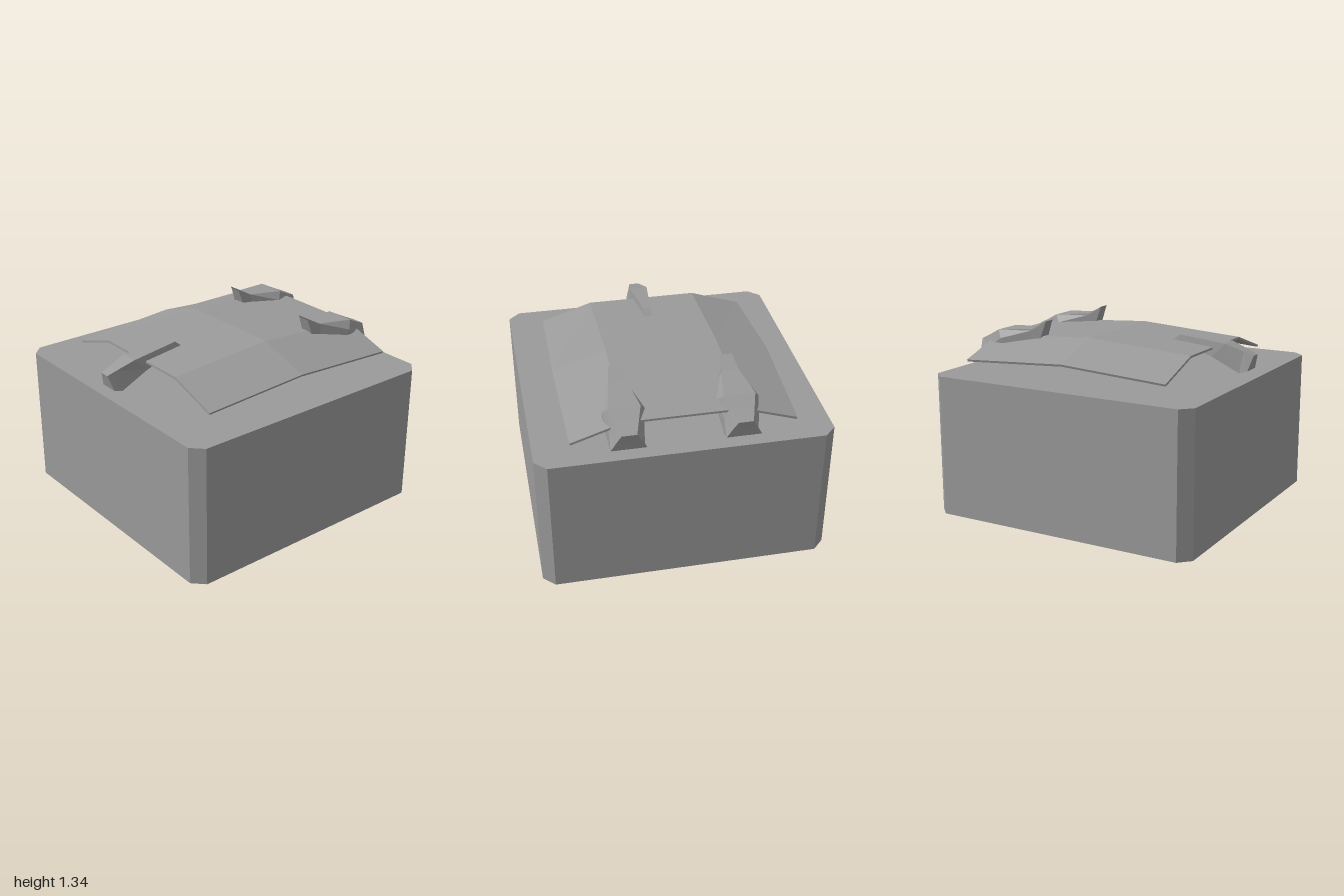
import * as THREE from 'three';

const material = new THREE.MeshStandardMaterial({ color: 0x9a9a9a, flatShading: true });

// Skin a row of matching rings, ordered from front (+z) to back, and cap both ends
function loft(name, rings) {
  const pos = [];
  const n = rings[0].length;
  const quad = (a, b, c, d) => pos.push(...a, ...b, ...c, ...a, ...c, ...d);
  for (let j = 0; j + 1 < rings.length; j++) {
    for (let i = 0; i < n; i++) {
      const k = (i + 1) % n;
      quad(rings[j][i], rings[j][k], rings[j + 1][k], rings[j + 1][i]);
    }
  }
  const first = rings[0], last = rings[rings.length - 1];
  for (let i = 0; i < n / 2 - 1; i++) {
    quad(first[i], first[n - 1 - i], first[n - 2 - i], first[i + 1]);
    quad(last[i], last[i + 1], last[n - 2 - i], last[n - 1 - i]);
  }
  const geo = new THREE.BufferGeometry();
  geo.setAttribute('position', new THREE.Float32BufferAttribute(pos, 3));
  geo.computeVertexNormals();
  const mesh = new THREE.Mesh(geo, material);
  mesh.name = name;
  return mesh;
}

// Mirrored claw: each section lists [z, y, halfWidth] from top to bottom
function claw(name, x, sections) {
  const mesh = loft(name, sections.map((s) => [
    ...s.map(([z, y, w]) => [w, y, z]),
    ...[...s].reverse().map(([z, y, w]) => [-w, y, z]),
  ]));
  mesh.position.x = x;
  return mesh;
}

function createBase() {
  const c = 0.92;
  const outline = new THREE.Shape([
    [-c, -1], [c, -1], [1, -c], [1, c], [c, 1], [-c, 1], [-1, c], [-1, -c],
  ].map(([x, y]) => new THREE.Vector2(x, y)));
  const geo = new THREE.ExtrudeGeometry(outline, { depth: 1, bevelEnabled: false });
  geo.rotateX(-Math.PI / 2);
  const mesh = new THREE.Mesh(geo, material);
  mesh.name = 'base';
  return mesh;
}

// Thin bent plate: crest across the middle, sides folded down
function createPlate() {
  const t = 0.015;
  const rows = [[0.705, 1.2, 0.757], [-0.07, 1.25, 0.772], [-0.87, 1.2, 0.757]];
  const mesh = loft('plate', rows.map(([z, y, w]) => {
    const top = [[-w, y - 0.12, z], [-0.393, y, z], [0.393, y, z], [w, y - 0.12, z]];
    const bottom = top.map(([x, h]) => [x * 0.993, h - t, z]).reverse();
    return [...top, ...bottom];
  }));
  mesh.position.x = 0.003;
  return mesh;
}

export function createModel() {
  const model = new THREE.Group();
  model.name = 'clampedPlateOnBlock';
  model.add(createBase(), createPlate());

  // Slim claw gripping the front edge
  model.add(claw('frontClaw', 0.008, [
    [[1.0, 1.165, 0.035], [0.97, 1.06, 0.067]],
    [[0.93, 1.19, 0.045], [0.91, 1.04, 0.067]],
    [[0.8, 1.235, 0.065], [0.7, 1.135, 0.063]],
    [[0.435, 1.26, 0.025], [0.38, 1.215, 0.025]],
  ]));

  // Broad hooked claws gripping the back edge
  const hook = [
    [[-0.42, 1.34, 0.042], [-0.43, 1.325, 0.043], [-0.47, 1.21, 0.05]],
    [[-0.53, 1.28, 0.062], [-0.54, 1.265, 0.066], [-0.53, 1.18, 0.066]],
    [[-0.79, 1.26, 0.107], [-0.75, 1.205, 0.143], [-0.73, 1.15, 0.138]],
    [[-0.88, 1.215, 0.08], [-0.87, 1.13, 0.115], [-0.88, 1.02, 0.117]],
    [[-0.98, 1.17, 0.05], [-0.967, 1.11, 0.085], [-0.955, 1.045, 0.119]],
  ];
  for (const side of [1, -1]) {
    model.add(claw(side > 0 ? 'backClawLeft' : 'backClawRight', 0.008 + side * 0.38, hook));
  }
  return model;
}
